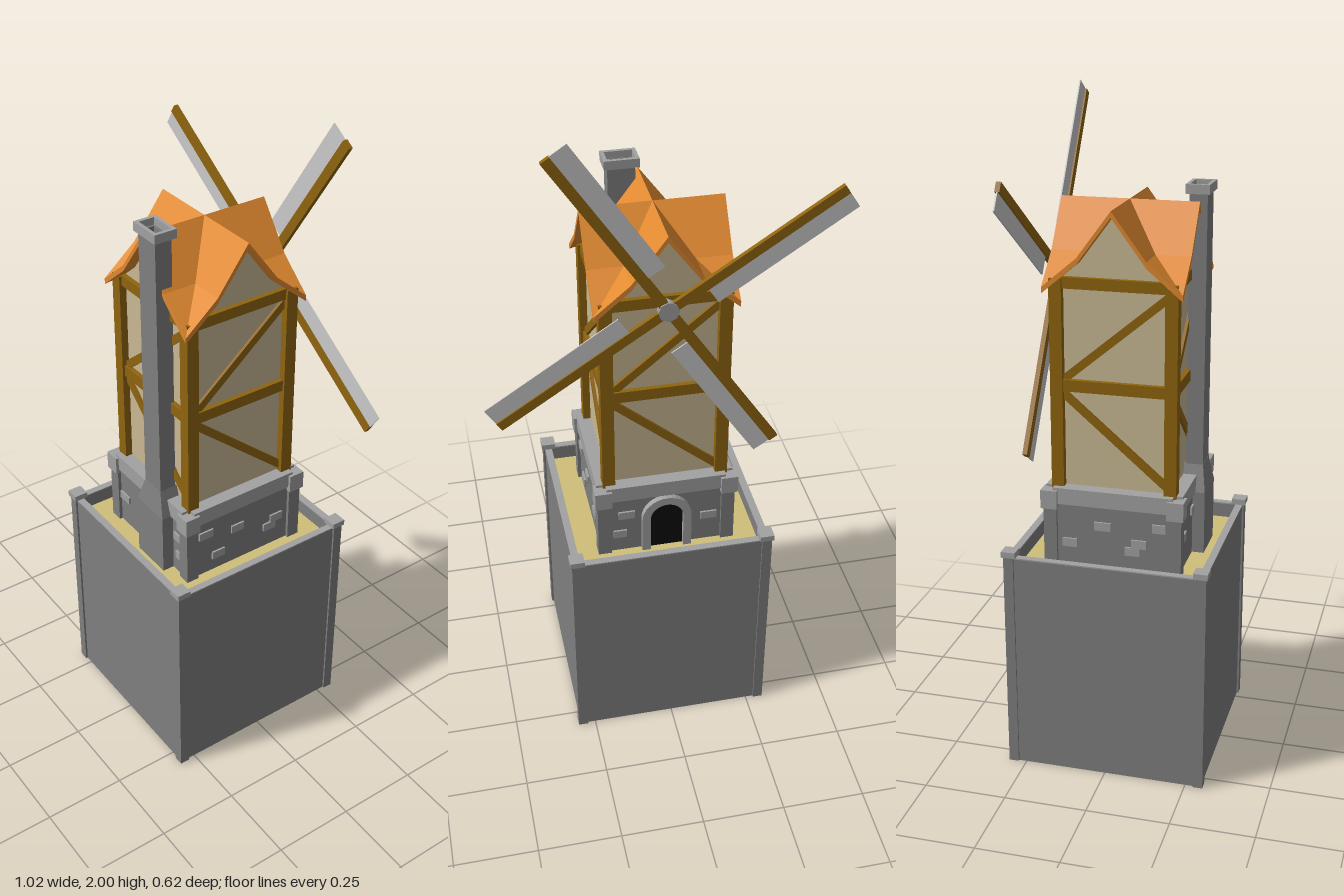
import * as THREE from 'three';

const mat = (name, color, side = THREE.FrontSide) => {
  const m = new THREE.MeshStandardMaterial({ color, side });
  m.name = name;
  return m;
};

export function createModel() {
  const root = new THREE.Group();
  root.name = 'windmill';
  const stone = mat('dark stone', 0x7f7f7f);
  const trim = mat('light stone', 0xa2a2a2);
  const timber = mat('timber', 0x8f640e);
  const plaster = mat('plaster', 0xc9b994, THREE.DoubleSide);
  const tiles = mat('orange tiles', 0xe28a30, THREE.DoubleSide);
  const sand = mat('sand', 0xcfbf7a);
  const cloth = mat('sail cloth', 0xcacaca, THREE.DoubleSide);
  const black = mat('doorway black', 0x0a0a0a);

  const add = (parent, name, geo, material, x = 0, y = 0, z = 0) => {
    const m = new THREE.Mesh(geo, material);
    m.name = name;
    m.position.set(x, y, z);
    parent.add(m);
    return m;
  };
  // Box given by its extents
  const box = (parent, name, material, x0, x1, y0, y1, z0, z1) =>
    add(parent, name, new THREE.BoxGeometry(x1 - x0, y1 - y0, z1 - z0), material,
      (x0 + x1) / 2, (y0 + y1) / 2, (z0 + z1) / 2);
  // Timber laid between two points of a wall face
  const brace = (parent, x0, y0, x1, y1) => {
    const len = Math.hypot(x1 - x0, y1 - y0);
    const m = add(parent, 'diagonalBrace', new THREE.BoxGeometry(len, 0.024, 0.012), timber,
      (x0 + x1) / 2, (y0 + y1) / 2, 0.168);
    m.rotation.z = Math.atan2(y1 - y0, x1 - x0);
  };
  // Upright rectangular tube, open at both ends
  const tube = (name, material, x0, x1, y0, y1, z0, z1, t) => {
    const rect = (P, a, b, c, d) => new P().moveTo(a, c).lineTo(b, c).lineTo(b, d).lineTo(a, d).closePath();
    const s = rect(THREE.Shape, x0, x1, -z1, -z0);
    s.holes.push(rect(THREE.Path, x0 + t, x1 - t, -z1 + t, -z0 - t));
    const g = new THREE.ExtrudeGeometry(s, { depth: y1 - y0, bevelEnabled: false });
    g.rotateX(-Math.PI / 2);
    add(root, name, g, material, 0, y0, 0);
  };

  // Roof profile: half-width and height from ridge to eave
  const profile = [[0, 1.7], [0.1, 1.565], [0.203, 1.478]];
  const eave = 0.203, thick = 0.018;
  const roofPos = [];
  const quad = (a, b, c, d) => roofPos.push(...a, ...b, ...c, ...a, ...c, ...d);
  for (const s of [1, -1]) {
    for (let i = 0; i < 2; i++) {
      const [a, p] = profile[i], [b, q] = profile[i + 1];
      for (const drop of [0, thick]) {
        const corners = [[s * a, p - drop, a], [s * a, p - drop, eave],
          [s * b, q - drop, eave], [s * b, q - drop, b]];
        if ((s > 0) === (drop > 0)) corners.reverse();
        quad(...corners);
      }
      const rake = [[s * a, p, eave], [s * a, p - thick, eave], [s * b, q - thick, eave], [s * b, q, eave]];
      if (s < 0) rake.reverse();
      quad(...rake);
    }
  }
  const roofGeo = new THREE.BufferGeometry();
  roofGeo.setAttribute('position', new THREE.Float32BufferAttribute(roofPos, 3));
  roofGeo.computeVertexNormals();

  // Plaster infill beneath each gable
  const gable = new THREE.Shape();
  gable.moveTo(-0.165, 1.48).lineTo(0.165, 1.48).lineTo(0.165, 1.496)
    .lineTo(0.1, 1.55).lineTo(0, 1.685).lineTo(-0.1, 1.55).lineTo(-0.165, 1.496).closePath();
  const gableGeo = new THREE.ShapeGeometry(gable);

  // Small raised stones on each face: x, y, width
  const bricks = [
    [[-0.14, 0.735, 0.05], [-0.03, 0.78, 0.03], [0.15, 0.765, 0.04], [0.16, 0.7, 0.04]],
    [[-0.135, 0.78, 0.05], [-0.02, 0.757, 0.045], [-0.09, 0.69, 0.045], [0.1, 0.708, 0.045], [0.125, 0.732, 0.045]],
    [[-0.12, 0.77, 0.05], [-0.14, 0.7, 0.04], [0.13, 0.73, 0.05]],
    [[-0.13, 0.71, 0.045], [-0.03, 0.77, 0.05], [0.06, 0.70, 0.045], [0.08, 0.725, 0.045], [0.14, 0.78, 0.04]],
  ];

  // Everything repeated on the four sides
  for (let k = 0; k < 4; k++) {
    const side = new THREE.Group();
    side.name = 'side' + (k + 1);
    side.rotation.y = k * Math.PI / 2;
    root.add(side);
    // Plinth wall and corner post
    box(side, 'plinthWall', stone, -0.28, 0.28, 0, 0.68, 0.278, 0.298);
    box(side, 'plinthWallCoping', trim, -0.28, 0.28, 0.68, 0.684, 0.277, 0.299);
    box(side, 'plinthPost', stone, 0.274, 0.304, 0, 0.686, 0.274, 0.304);
    box(side, 'plinthPostCap', trim, 0.266, 0.309, 0.686, 0.704, 0.266, 0.309);
    // Stone storey
    box(side, 'basePillar', stone, 0.168, 0.208, 0.62, 0.82, 0.168, 0.208);
    box(side, 'baseRail', trim, -0.18, 0.18, 0.83, 0.88, 0.16, 0.206);
    box(side, 'baseCornerBlock', trim, 0.165, 0.215, 0.815, 0.872, 0.165, 0.215);
    for (const [x, y, w] of bricks[k])
      box(side, 'raisedStone', trim, x - w / 2, x + w / 2, y - 0.013, y + 0.013, 0.196, 0.204);
    // Timber frame
    box(side, 'cornerTimber', timber, 0.15, 0.187, 0.86, 1.5, 0.15, 0.187);
    box(side, 'middleBeam', timber, -0.16, 0.16, 1.17, 1.205, 0.155, 0.18);
    box(side, 'topBeam', timber, -0.17, 0.17, 1.472, 1.505, 0.155, 0.18);
    brace(side, -0.155, 1.2, 0.155, 1.46);
    brace(side, -0.155, 1.165, 0.155, 0.9);
    // Gable and its share of the roof
    add(side, 'gable', gableGeo, plaster, 0, 0, 0.165);
    add(side, 'roofGable', roofGeo, tiles);
  }

  box(root, 'sandFloor', sand, -0.278, 0.278, 0.615, 0.635, -0.278, 0.278);
  box(root, 'stoneStorey', stone, -0.198, 0.198, 0.62, 0.86, -0.198, 0.198);
  box(root, 'plasterWalls', plaster, -0.165, 0.165, 0.86, 1.485, -0.165, 0.165);

  // Arched doorway on the back
  const arch = (P, w, top) => new P().moveTo(-w, 0).lineTo(w, 0).lineTo(w, top - w)
    .absarc(0, top - w, w, 0, Math.PI, false).lineTo(-w, 0);
  const door = new THREE.Group();
  door.name = 'door';
  door.position.set(0, 0.632, -0.198);
  door.rotation.y = Math.PI;
  root.add(door);
  const frame = arch(THREE.Shape, 0.075, 0.195);
  frame.holes.push(arch(THREE.Path, 0.05, 0.17));
  add(door, 'doorFrame', new THREE.ExtrudeGeometry(frame, { depth: 0.018, bevelEnabled: false, curveSegments: 8 }), trim);
  add(door, 'doorway', new THREE.ShapeGeometry(arch(THREE.Shape, 0.052, 0.172), 8), black, 0, 0, 0.003);

  // Chimney: flared foot, hollow shaft and cap
  box(root, 'chimneyFoot', stone, -0.014, 0.12, 0.62, 0.83, 0.15, 0.235);
  const flare = new THREE.BoxGeometry(0.134, 0.08, 0.085);
  const fp = flare.attributes.position;
  for (let i = 0; i < fp.count; i++) {
    if (fp.getY(i) < 0) continue;
    fp.setX(i, fp.getX(i) * 0.6);
    if (fp.getZ(i) > 0) fp.setZ(i, 0.03);
  }
  flare.computeVertexNormals();
  add(root, 'chimneyFlare', flare, stone, 0.053, 0.87, 0.1925);
  tube('chimneyShaft', stone, 0.013, 0.093, 0.9, 1.725, 0.17, 0.222, 0.006);
  tube('chimneyCap', trim, 0.002, 0.104, 1.72, 1.747, 0.16, 0.23, 0.011);

  // Sails turning on an axle
  const sails = new THREE.Group();
  sails.name = 'sails';
  sails.position.set(0.003, 1.487, -0.222);
  root.add(sails);
  const axle = new THREE.CylinderGeometry(0.014, 0.014, 0.07, 8).rotateX(Math.PI / 2);
  add(sails, 'axle', axle, trim, 0, 0, 0.025);
  const hub = new THREE.CylinderGeometry(0.03, 0.03, 0.022, 8).rotateX(Math.PI / 2);
  add(sails, 'hub', hub, trim);
  for (let k = 0; k < 4; k++) {
    const arm = new THREE.Group();
    arm.name = 'sailArm';
    arm.rotation.z = THREE.MathUtils.degToRad(56.5) + k * Math.PI / 2;
    sails.add(arm);
    box(arm, 'spar', timber, 0.015, 0.568, -0.014, 0.014, -0.007, 0.007);
    box(arm, 'sail', cloth, 0.12, 0.568, 0.014, 0.068, -0.002, 0.002);
  }
  return root;
}
